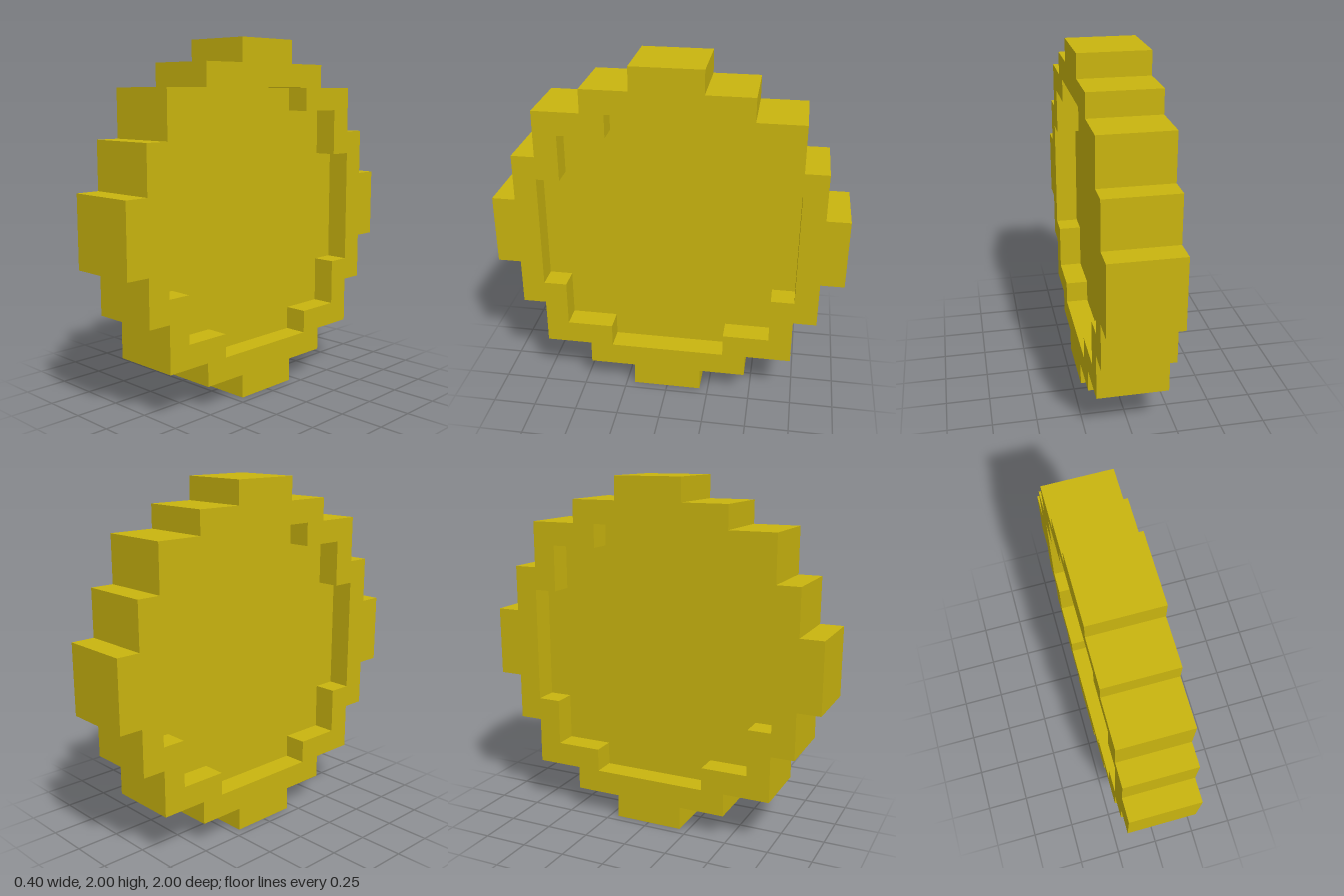
import * as THREE from 'three';

const U = 2 / 15; // one pixel-art block

// Mirror a stepped quarter outline (first to last, anticlockwise from +x) into a closed loop
function steppedLoop(quarter) {
  const points = [];
  for (let i = 0; i < 4; i++) {
    const flipX = i === 1 || i === 2 ? -1 : 1;
    const flipY = i >= 2 ? -1 : 1;
    const list = i % 2 ? [...quarter].reverse() : quarter;
    for (const [x, y] of list) points.push(new THREE.Vector2(x * flipX * U, y * flipY * U));
  }
  return points;
}

// Extrude a shape, centred on its thickness, with its faces turned to +x and -x
function slab(name, shape, thickness, material) {
  const geometry = new THREE.ExtrudeGeometry(shape, { depth: thickness, bevelEnabled: false });
  geometry.translate(0, 0, -thickness / 2).rotateY(Math.PI / 2);
  const mesh = new THREE.Mesh(geometry, material);
  mesh.name = name;
  mesh.position.y = 1;
  return mesh;
}

export function createModel() {
  const gold = new THREE.MeshStandardMaterial({ color: 0xc9b40f });
  gold.name = 'gold';

  const outer = steppedLoop([
    [7.5, 1.5], [6.5, 1.5], [6.5, 3.5], [5.5, 3.5], [5.5, 5.5],
    [3.5, 5.5], [3.5, 6.5], [1.5, 6.5], [1.5, 7.5],
  ]);
  const inner = steppedLoop([
    [5.5, 2.5], [4.5, 2.5], [4.5, 4.5], [2.5, 4.5], [2.5, 5.5],
  ]);

  // Raised rim, three blocks thick, around a one-block disc recessed on both sides
  const rimShape = new THREE.Shape(outer);
  rimShape.holes.push(new THREE.Path(inner));

  const coin = new THREE.Group();
  coin.name = 'coin';
  coin.add(slab('rim', rimShape, 3 * U, gold));
  coin.add(slab('centreDisc', new THREE.Shape(inner), U, gold));
  return coin;
}
